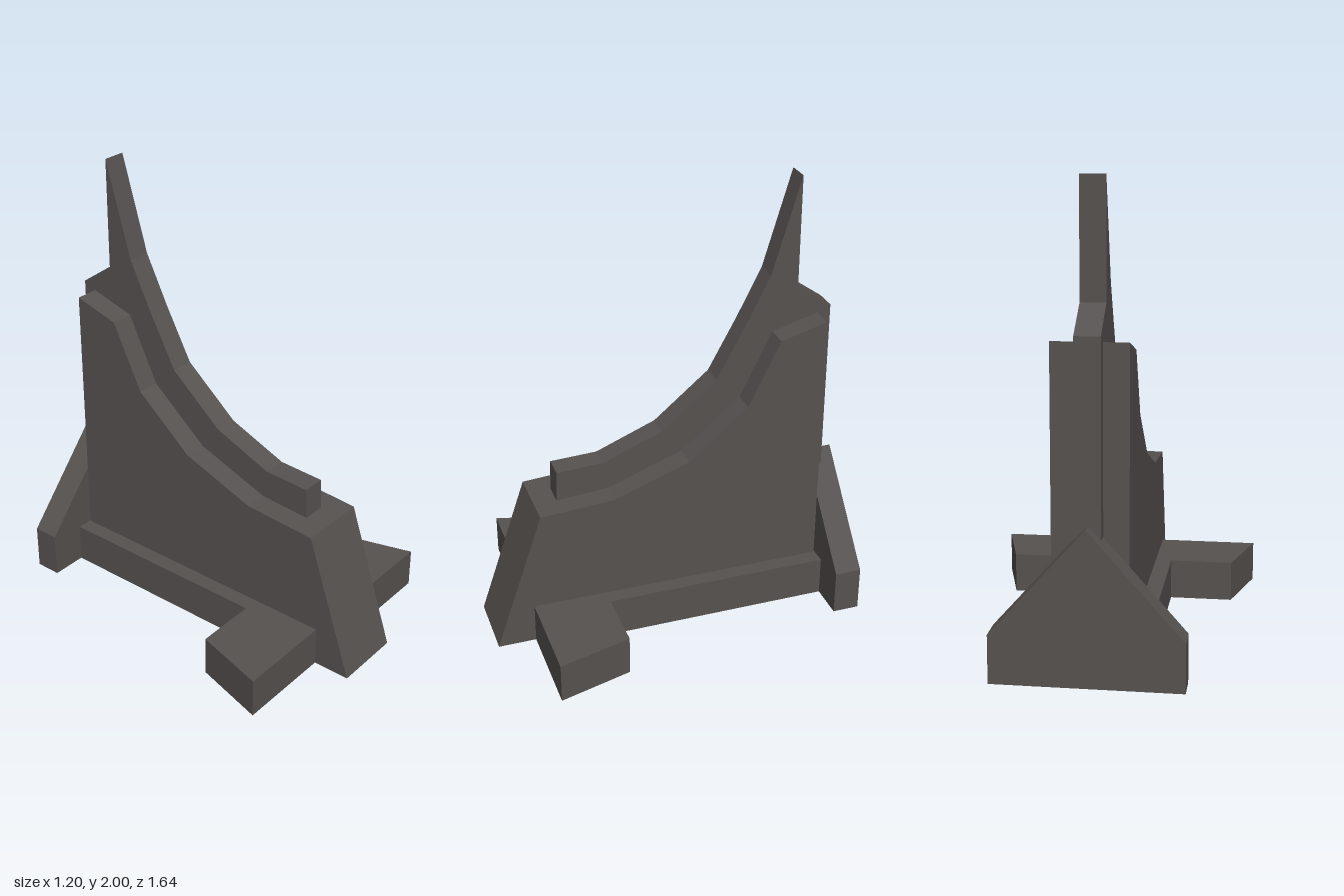
import * as THREE from 'three';

const stone = new THREE.MeshStandardMaterial({ color: 0x565250, side: THREE.DoubleSide });
stone.name = 'dark stone grey';

// Extrudes a straight-edged outline, centred on its depth
function slab(points, depth) {
  const shape = new THREE.Shape(points.map(([a, b]) => new THREE.Vector2(a, b)));
  return new THREE.ExtrudeGeometry(shape, { depth, bevelEnabled: false }).translate(0, 0, -depth / 2);
}

// Side profile given as [z, y], extruded across x
const sideSlab = (points, width) => slab(points, width).rotateY(-Math.PI / 2);

// Removes the faces lying on the ground, leaving the shell open underneath
function openBottom(geometry) {
  const p = geometry.attributes.position;
  const kept = [];
  for (let i = 0; i < p.count; i += 3) {
    const onGround = [0, 1, 2].every((k) => Math.abs(p.getY(i + k)) < 1e-4);
    if (onGround) continue;
    for (let k = 0; k < 3; k++) kept.push(p.getX(i + k), p.getY(i + k), p.getZ(i + k));
  }
  const shell = new THREE.BufferGeometry();
  shell.setAttribute('position', new THREE.Float32BufferAttribute(kept, 3));
  shell.computeVertexNormals();
  return shell;
}

export function createModel() {
  const model = new THREE.Group();
  model.name = 'buttressMonument';
  const add = (name, geometry) => {
    const mesh = new THREE.Mesh(geometry, stone);
    mesh.name = name;
    model.add(mesh);
  };

  // Main wall with a sloping toe and a stepped, rising top
  add('body', openBottom(sideSlab([
    [0.82, 0], [0.605, 0.635], [0.27, 0.66], [-0.07, 0.785], [-0.34, 1.01],
    [-0.485, 1.305], [-0.695, 1.365], [-0.695, 0],
  ], 0.315)));

  // Thin spine sweeping up to a point
  add('spine', sideSlab([
    [0.505, 0.64], [0.5, 0.78], [0.29, 0.79], [0.02, 0.9], [-0.23, 1.11],
    [-0.36, 1.35], [-0.47, 1.57], [-0.597, 2], [-0.597, 1.505], [-0.755, 1.395],
    [-0.755, 0.3], [-0.3, 0.3], [0.1, 0.6],
  ], 0.106));

  // Low plinth with two splayed front feet, mirrored across x
  const half = [[0.23, -0.7], [0.23, 0.32], [0.51, 0.32], [0.6, 0.65]];
  const mirrored = half.map(([x, z]) => [-x, z]).reverse();
  const plinth = slab([...half, ...mirrored], 0.18).rotateX(Math.PI / 2).translate(0, 0.09, 0);
  add('plinthAndFeet', openBottom(plinth));

  // Gabled plate across the back
  const gable = slab([[-0.395, 0], [0.395, 0], [0.395, 0.205], [0, 0.65], [-0.395, 0.205]], 0.12);
  add('backGable', openBottom(gable.translate(0, 0, -0.76)));

  return model;
}
